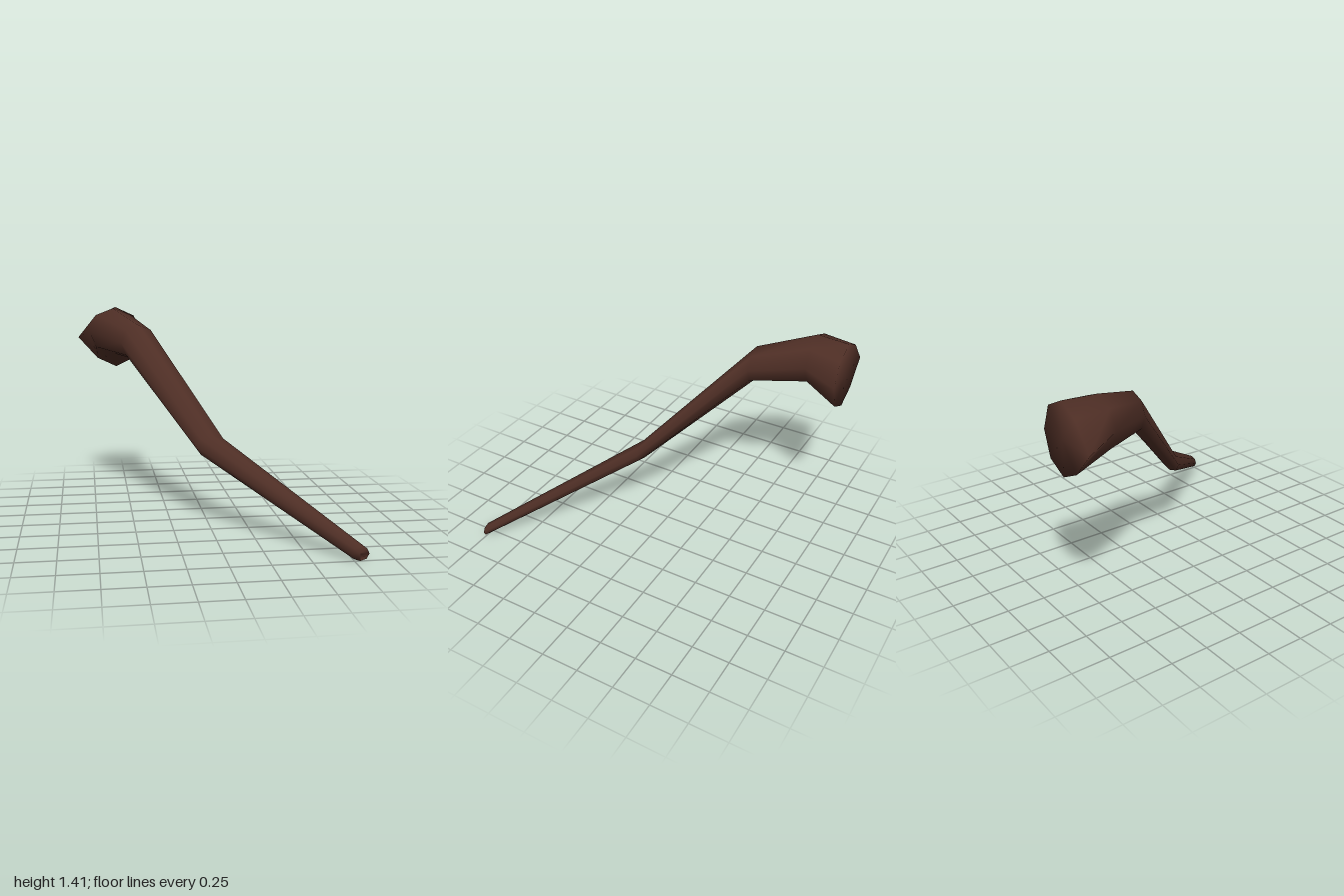
import * as THREE from 'three';

const SIDES = 8;

// Cross-sections from the thick back end to the thin front tip
const RINGS = [
  { z: -1.0, x: -0.565, y: 1.183, rx: 0.2, ry: 0.228, flare: 0.085 },
  { z: -0.78, x: -0.59, y: 1.245, rx: 0.18, ry: 0.167, flare: 0 },
  { z: -0.43, x: -0.425, y: 1.185, rx: 0.125, ry: 0.125, flare: 0 },
  { z: 0.18, x: 0.015, y: 0.545, rx: 0.105, ry: 0.075, flare: 0 },
  { z: 1.0, x: 0.785, y: 0.045, rx: 0.055, ry: 0.045, flare: 0 },
];

// Closed smooth tube through the cross-sections
function limbGeometry() {
  const pos = [];
  const index = [];
  for (const r of RINGS) {
    for (let j = 0; j < SIDES; j++) {
      const a = (j / SIDES) * Math.PI * 2;
      const spike = j === SIDES / 2 ? r.flare : 0; // pointed outer corner of the stump
      pos.push(r.x + Math.cos(a) * r.rx - spike, r.y + Math.sin(a) * r.ry, r.z);
    }
  }
  const last = (RINGS.length - 1) * SIDES;
  const backCentre = pos.length / 3;
  const tipCentre = backCentre + 1;
  for (const r of [RINGS[0], RINGS[RINGS.length - 1]]) pos.push(r.x, r.y, r.z);

  for (let j = 0; j < SIDES; j++) {
    const k = (j + 1) % SIDES;
    for (let row = 0; row < last; row += SIDES) {
      index.push(row + j, row + k, row + SIDES + j);
      index.push(row + k, row + SIDES + k, row + SIDES + j);
    }
    index.push(backCentre, k, j);
    index.push(tipCentre, last + j, last + k);
  }
  const geo = new THREE.BufferGeometry();
  geo.setAttribute('position', new THREE.Float32BufferAttribute(pos, 3));
  geo.setIndex(index);
  geo.computeVertexNormals();
  return geo;
}

export function createModel() {
  const bark = new THREE.MeshStandardMaterial({ color: 0x4e2e25 });
  bark.name = 'dark brown bark';

  const branch = new THREE.Mesh(limbGeometry(), bark);
  branch.name = 'branch';

  const model = new THREE.Group();
  model.name = 'bentBranch';
  model.add(branch);
  return model;
}
